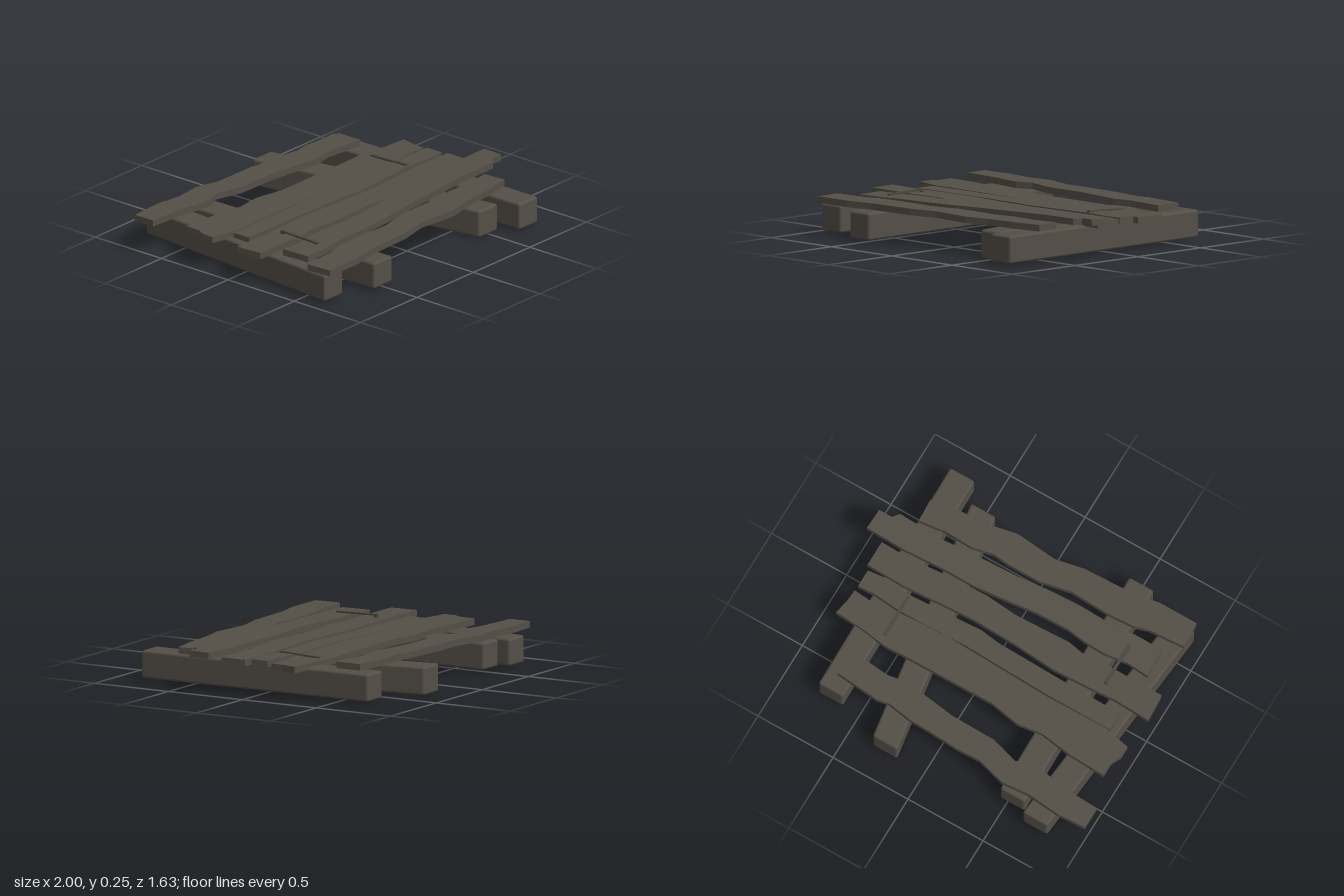
import * as THREE from 'three';
import { RoundedBoxGeometry } from 'three/addons/geometries/RoundedBoxGeometry.js';

export function createModel() {
  const group = new THREE.Group();
  const wood = new THREE.MeshStandardMaterial({ color: 0x544f47 });
  wood.name = 'weathered wood';
  const iron = new THREE.MeshStandardMaterial({ color: 0x4a463f });
  iron.name = 'dull iron';

  const add = (name, geometry, material) => {
    const mesh = new THREE.Mesh(geometry, material);
    mesh.name = name;
    group.add(mesh);
  };

  // Square beam skewed from its back end (xb, zb) to its front end (xf, zf)
  function beam(name, xb, zb, xf, zf, y0, y1) {
    const length = zf - zb;
    const geo = new RoundedBoxGeometry(0.163, y1 - y0, length, 3, 0.015);
    const k = (xf - xb) / length;
    geo.applyMatrix4(new THREE.Matrix4().set(
      1, 0, k, (xb + xf) / 2,
      0, 1, 0, (y0 + y1) / 2,
      0, 0, 1, (zb + zf) / 2,
      0, 0, 0, 1));
    add(name, geo, wood);
  }
  beam('beamOuterRight', -0.72, -0.787, -0.847, 0.67, 0.018, 0.178);
  beam('beamInnerRight', -0.535, -0.728, -0.517, 0.762, 0.018, 0.178);
  beam('beamInnerLeft', 0.26, -0.82, 0.497, 0.692, 0.002, 0.168);
  beam('beamOuterLeft', 0.69, -0.705, 0.708, 0.815, 0.018, 0.18);

  // Rough-sawn plank: back and front edges as x, z pairs, both from -x to +x
  function plank(name, back, front, yLeft, yRight, thick = 0.038) {
    const pts = (a) => {
      const out = [];
      for (let i = 0; i < a.length; i += 2) out.push(new THREE.Vector2(a[i], -a[i + 1]));
      return out;
    };
    const shape = new THREE.Shape([...pts(front), ...pts(back).reverse()]);
    const geo = new THREE.ExtrudeGeometry(shape, { depth: thick, bevelEnabled: false });
    geo.rotateX(-Math.PI / 2);
    // tilt along the length
    const p = geo.attributes.position;
    for (let i = 0; i < p.count; i++) {
      p.setY(i, p.getY(i) + THREE.MathUtils.lerp(yLeft, yRight, (p.getX(i) + 1) / 2));
    }
    geo.computeVertexNormals();
    add(name, geo, wood);
  }
  plank('plank1',
    [-1, -0.70, -0.82, -0.71, -0.62, -0.69, -0.45, -0.705, -0.27, -0.655, -0.12, -0.66,
      0.05, -0.65, 0.2, -0.645, 0.35, -0.62, 0.43, -0.635, 0.7, -0.61],
    [-1, -0.565, -0.74, -0.55, -0.63, -0.525, -0.55, -0.52, -0.45, -0.555, -0.28, -0.505,
      0, -0.50, 0.32, -0.455, 0.45, -0.475, 0.7, -0.45],
    0.182, 0.184);
  plank('plank2',
    [-0.96, -0.22, -0.93, -0.28, -0.93, -0.37, -0.7, -0.36, -0.5, -0.33, -0.34, -0.35,
      -0.15, -0.315, 0.4, -0.32, 0.56, -0.325, 0.73, -0.30, 0.9, -0.29],
    [-0.96, -0.15, -0.8, -0.115, -0.4, -0.12, 0, -0.105, 0.3, -0.093, 0.6, -0.11,
      0.77, -0.13, 0.875, -0.12, 0.88, -0.2],
    0.177, 0.167);
  plank('plank3',
    [-0.82, -0.11, -0.4, -0.11, -0.1, -0.1, 0.15, -0.09, 0.4, -0.1, 0.6, -0.1,
      0.77, -0.085, 0.87, -0.09],
    [-0.82, 0.005, -0.4, 0.01, 0, 0.02, 0.12, 0.037, 0.3, 0.027, 0.6, 0.012,
      0.77, 0.03, 0.87, 0.02],
    0.17, 0.179);
  plank('plank4',
    [-0.98, 0.05, -0.75, 0.06, -0.6, 0.05, -0.35, 0.04, -0.1, 0.06, 0.2, 0.07,
      0.4, 0.06, 0.65, 0.043, 0.89, 0.05],
    [-0.97, 0.22, -0.6, 0.22, -0.45, 0.21, -0.35, 0.23, -0.15, 0.222, 0, 0.217,
      0.2, 0.235, 0.4, 0.23, 0.7, 0.205, 0.89, 0.21],
    0.178, 0.175);
  plank('plank5',
    [-0.84, 0.28, -0.7, 0.29, -0.55, 0.27, -0.42, 0.275, -0.3, 0.29, -0.1, 0.285,
      0.1, 0.26, 0.3, 0.24, 0.5, 0.24, 0.75, 0.225, 1, 0.23],
    [-0.83, 0.46, -0.65, 0.46, -0.5, 0.445, -0.3, 0.45, -0.1, 0.44, 0.1, 0.42,
      0.3, 0.41, 0.6, 0.39, 0.88, 0.4, 0.91, 0.36, 0.995, 0.36],
    0.175, 0.216);
  plank('plank6',
    [-0.93, 0.54, -0.7, 0.525, -0.62, 0.5, -0.45, 0.49, -0.2, 0.5, 0, 0.46, 0.2, 0.46,
      0.3, 0.47, 0.43, 0.443, 0.6, 0.45, 0.77, 0.43],
    [-0.92, 0.7, -0.68, 0.7, -0.5, 0.67, -0.2, 0.66, -0.02, 0.623, 0.24, 0.648,
      0.4, 0.615, 0.6, 0.6, 0.78, 0.57],
    0.182, 0.183);

  // Thin staples pinning neighbouring planks together
  function staple(name, x, z0, z1, y0, y1) {
    const w = 0.02, t = 0.01;
    const shape = new THREE.Shape([
      [z0, 0.18], [z0 + w, 0.18], [z0 + w, y0 - t], [z1 - w, y1 - t],
      [z1 - w, 0.18], [z1, 0.18], [z1, y1], [z0, y0],
    ].map(([z, y]) => new THREE.Vector2(-z, y)));
    const geo = new THREE.ExtrudeGeometry(shape, { depth: w, bevelEnabled: false });
    geo.rotateY(Math.PI / 2).translate(x - w / 2, 0, 0);
    add(name, geo, iron);
  }
  staple('stapleLeft', 0.588, -0.27, 0, 0.214, 0.226);
  staple('stapleRight', -0.657, 0.115, 0.39, 0.236, 0.23);

  return group;
}
